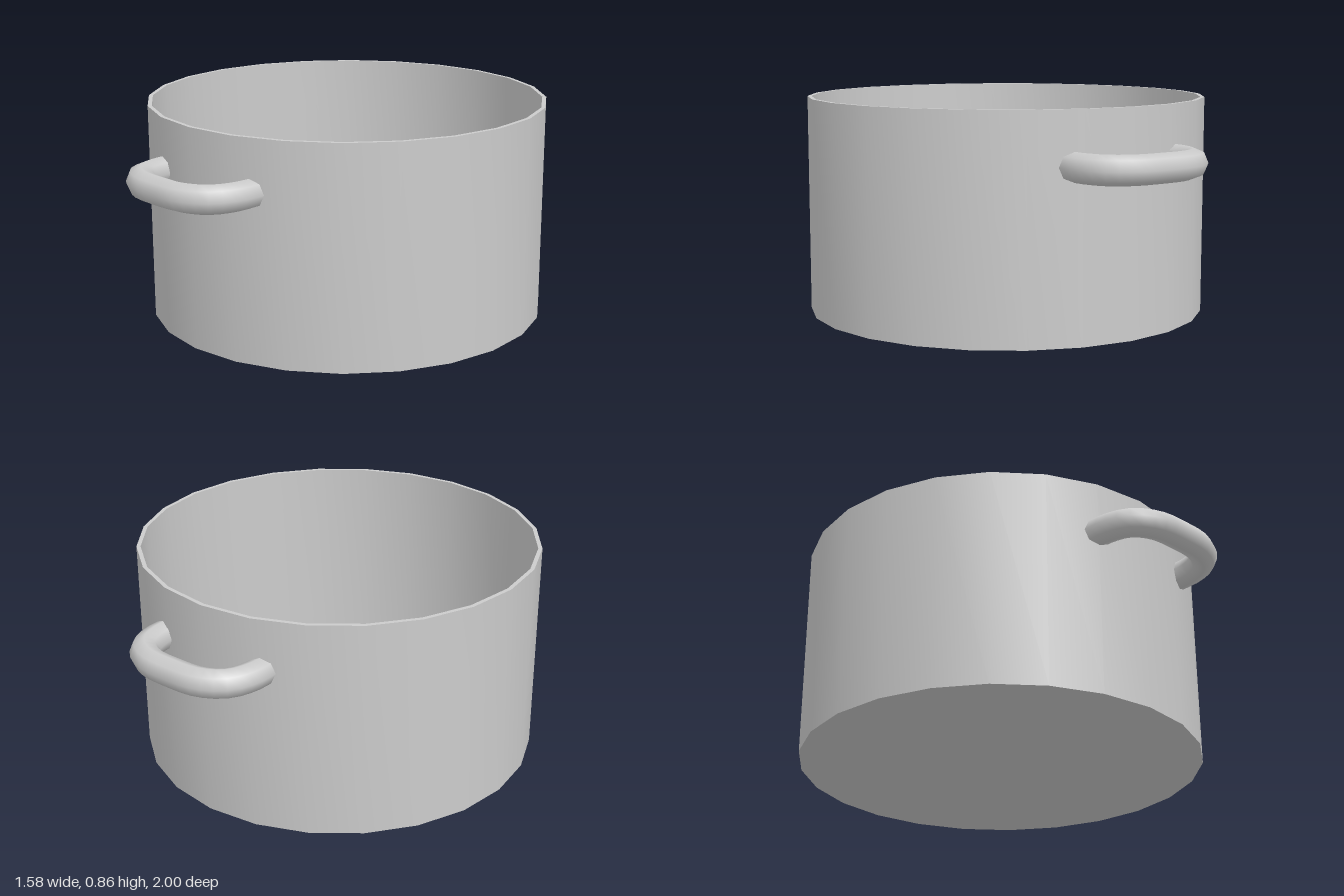
import * as THREE from 'three';
import { toCreasedNormals } from 'three/addons/utils/BufferGeometryUtils.js';

const OUTER = 0.79, INNER = 0.774, HEIGHT = 0.855, FLOOR = 0.016;

// Rounded loop of tube whose ends are trimmed to finish inside the wall
function handleGeometry(offsetX) {
  const half = [[0.233, 0.68], [0.233, 0.8], [0.2, 0.885], [0.12, 0.935]];
  const points = [
    ...half.map(([x, z]) => new THREE.Vector3(-x, 0, z)),
    new THREE.Vector3(0, 0, 0.945),
    ...half.map(([x, z]) => new THREE.Vector3(x, 0, z)).reverse(),
  ];
  const geometry = new THREE.TubeGeometry(new THREE.CatmullRomCurve3(points), 24, 0.055, 8);
  geometry.translate(offsetX, 0.65, 0);
  const wall = 0.775;
  const pos = geometry.attributes.position;
  for (let i = 0; i < pos.count; i++) {
    const x = pos.getX(i);
    pos.setZ(i, Math.max(pos.getZ(i), Math.sqrt(wall * wall - x * x)));
  }
  return geometry;
}

export function createModel() {
  const group = new THREE.Group();
  group.name = 'cookingPot';
  const material = new THREE.MeshStandardMaterial({ color: 0xcccccc });

  // Open pot: base, outer wall, rim, inner wall and floor in one profile
  const profile = [
    [0, 0], [OUTER, 0], [OUTER, HEIGHT], [INNER, HEIGHT], [INNER, FLOOR], [0, FLOOR],
  ].map(([x, y]) => new THREE.Vector2(x, y));
  const pot = new THREE.Mesh(toCreasedNormals(new THREE.LatheGeometry(profile, 24), 0.6), material);
  pot.name = 'pot';
  group.add(pot);

  // The front handle sits slightly off centre
  const frontHandle = new THREE.Mesh(handleGeometry(0.033), material);
  frontHandle.name = 'frontHandle';
  const backHandle = new THREE.Mesh(handleGeometry(0), material);
  backHandle.name = 'backHandle';
  backHandle.rotation.y = Math.PI;
  group.add(frontHandle, backHandle);

  return group;
}
